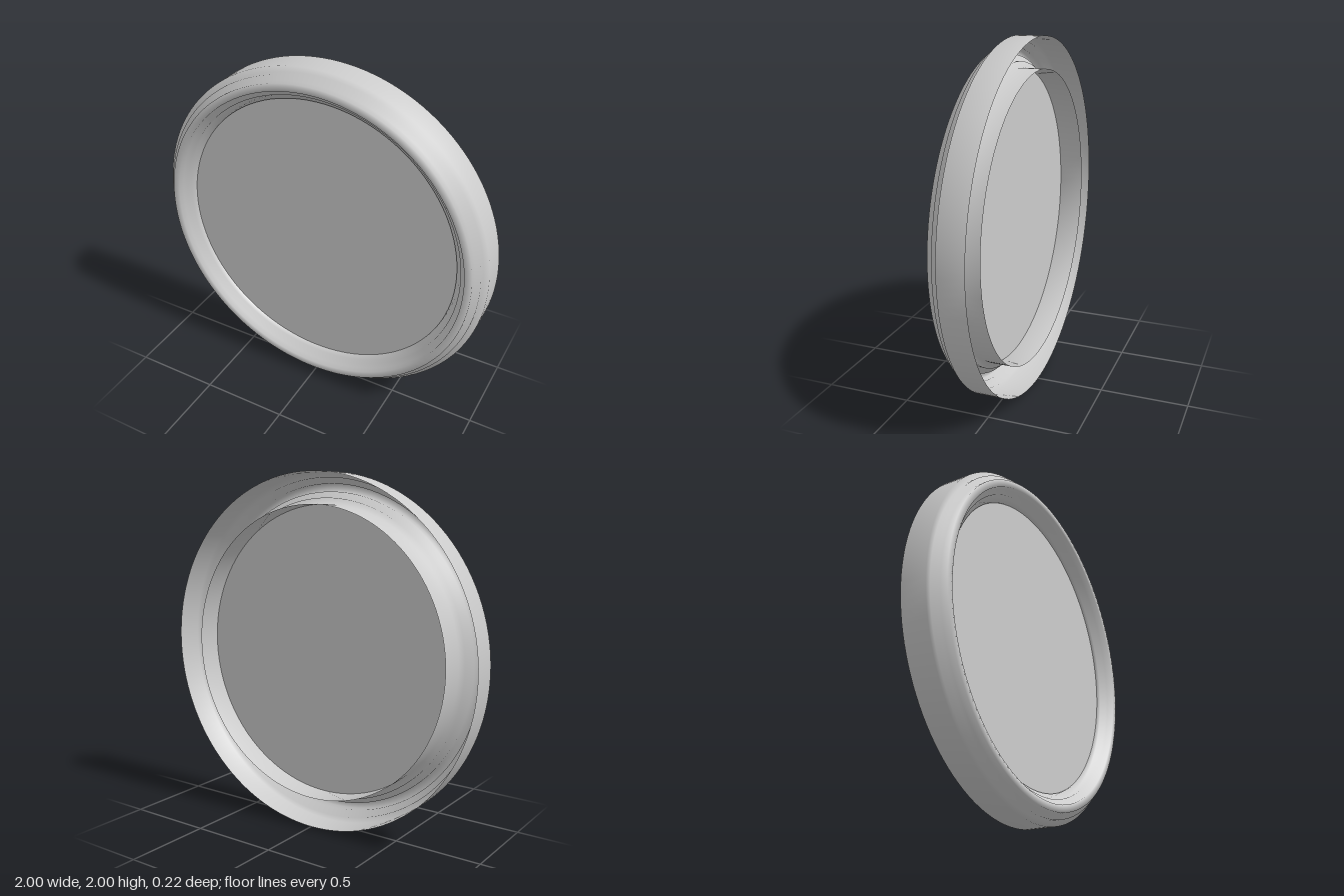
import * as THREE from 'three';

export function createModel() {
  const group = new THREE.Group();
  const material = new THREE.MeshStandardMaterial({ color: 0xcccccc, side: THREE.DoubleSide });
  const segments = 128;

  // Stepped frame: one open shell, turned from the outer back edge over the front to the inner back edge
  const profile = [
    [1, -0.111], [1, 0.036],
    [0.968, 0.036], [0.968, 0.073],
    [0.935, 0.073], [0.935, 0.111],
    [0.893, 0.111], [0.893, 0.073],
    [0.86, 0.073], [0.86, 0.036],
    [0.826, 0.036], [0.826, -0.111],
  ].map(([r, z]) => new THREE.Vector2(r, z));
  const frameGeometry = new THREE.LatheGeometry(profile, segments);
  frameGeometry.rotateX(Math.PI / 2);
  const frame = new THREE.Mesh(frameGeometry, material);
  frame.name = 'steppedFrame';
  frame.position.y = 1;
  group.add(frame);

  // Flat round pane just behind the innermost step
  const pane = new THREE.Mesh(new THREE.CircleGeometry(0.826, segments), material);
  pane.name = 'pane';
  pane.position.set(0, 1, 0.03);
  group.add(pane);

  return group;
}
